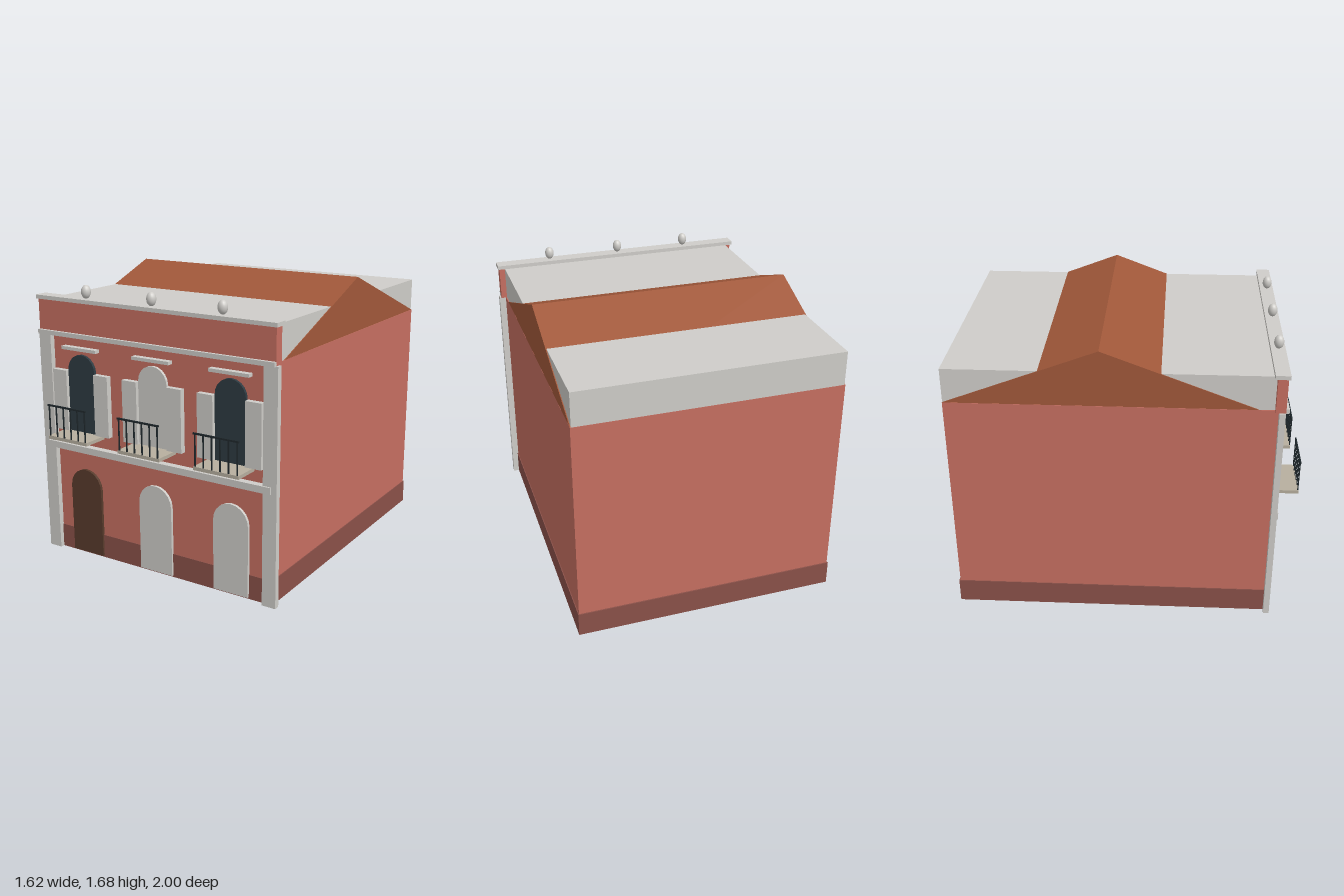
import * as THREE from 'three';

const mat = (name, color) => Object.assign(new THREE.MeshStandardMaterial({ color }), { name });

export function createModel() {
  const model = new THREE.Group();
  model.name = 'townhouse';
  const stucco = mat('coral stucco', 0xc66f61);
  const plinthRed = mat('plinth red', 0x8b5149);
  const stone = mat('pale stone', 0xcfcdc9);
  const tile = mat('terracotta', 0xa1583a);
  const glass = mat('dark glass', 0x2d3a41);
  const wood = mat('door wood', 0x583b2c);
  const iron = mat('wrought iron', 0x1f282c);
  const slab = mat('balcony stone', 0xb7af9f);

  const add = (name, geometry, material, parent = model) => {
    const mesh = new THREE.Mesh(geometry, material);
    mesh.name = name;
    parent.add(mesh);
    return mesh;
  };
  // Box given by its limits on each axis
  const box = (name, material, [x0, x1], [y0, y1], [z0, z1], parent) => {
    const mesh = add(name, new THREE.BoxGeometry(x1 - x0, y1 - y0, z1 - z0), material, parent);
    mesh.position.set((x0 + x1) / 2, (y0 + y1) / 2, (z0 + z1) / 2);
    return mesh;
  };
  // Round-headed panel standing on the facade
  const arch = (name, material, radius, y0, spring, z0, depth, parent) => {
    const shape = new THREE.Shape();
    shape.moveTo(-radius, y0);
    shape.lineTo(radius, y0);
    for (let i = 0; i <= 10; i++) {
      const a = (i / 10) * Math.PI;
      shape.lineTo(radius * Math.cos(a), spring + radius * Math.sin(a));
    }
    const geometry = new THREE.ExtrudeGeometry(shape, { depth, bevelEnabled: false });
    add(name, geometry, material, parent).position.z = z0;
  };

  // Main volumes
  box('plinth', plinthRed, [-0.775, 0.775], [0, 0.145], [-0.997, 0.843]);
  box('walls', stucco, [-0.77, 0.77], [0.145, 1.355], [-0.99, 0.838]);
  box('flatRoof', stone, [-0.765, 0.765], [1.355, 1.555], [-0.989, 0.816]);

  // Gabled roof with its ridge along x
  const gable = new THREE.Shape([[-0.988, 1.356], [0.73, 1.356], [-0.13, 1.68]].map((p) => new THREE.Vector2(...p)));
  const roof = add('gableRoof', new THREE.ExtrudeGeometry(gable, { depth: 1.54, bevelEnabled: false }), tile);
  roof.rotation.y = -Math.PI / 2;
  roof.position.x = 0.77;

  // Parapet and mouldings
  box('parapet', stucco, [-0.8, 0.8], [1.355, 1.558], [0.816, 0.872]);
  box('coping', stone, [-0.81, 0.81], [1.557, 1.58], [0.8, 0.882]);
  box('cornice', stone, [-0.8, 0.8], [1.352, 1.378], [0.838, 0.89]);
  box('stringCourse', stone, [-0.775, 0.775], [0.657, 0.697], [0.836, 0.88]);
  for (const s of [-1, 1]) {
    const xs = [s * 0.725, s * 0.81].sort((a, b) => a - b);
    box('pilaster', stone, xs, [0, 1.353], [0.836, 0.87]);
  }

  // Three facade bays; the middle one has pale panels
  const bays = [
    { x: -0.512, pane: glass, door: wood },
    { x: 0.001, pane: stone, door: stone },
    { x: 0.513, pane: glass, door: stone },
  ];
  for (const { x, pane, door } of bays) {
    const bay = new THREE.Group();
    bay.name = 'bay';
    bay.position.x = x;
    model.add(bay);

    arch('door', door, 0.113, 0.01, 0.43, 0.837, 0.018, bay);
    arch('window', pane, 0.098, 0.78, 1.15, 0.837, 0.018, bay);
    box('lintel', stone, [-0.127, 0.127], [1.274, 1.293], [0.837, 0.875], bay);
    for (const s of [-1, 1]) {
      const xs = [s * 0.102, s * 0.203].sort((a, b) => a - b);
      box('shutter', stone, xs, [0.78, 1.146], [0.837, 0.872], bay);
    }

    // Balcony with a front railing
    box('balconySlab', slab, [-0.143, 0.143], [0.757, 0.777], [0.837, 1.0], bay);
    box('handrail', iron, [-0.143, 0.143], [0.957, 0.967], [0.992, 1.0], bay);
    for (let i = 0; i < 6; i++) {
      const bx = -0.132 + i * 0.0528;
      box('baluster', iron, [bx - 0.0035, bx + 0.0035], [0.775, 0.96], [0.993, 0.999], bay);
    }
  }

  // Egg-shaped finials on the coping
  for (const x of [-0.461, 0, 0.461]) {
    const finial = add('finial', new THREE.SphereGeometry(0.028, 16, 12), stone);
    finial.scale.y = 1.4;
    finial.position.set(x, 1.621, 0.843);
  }
  return model;
}
